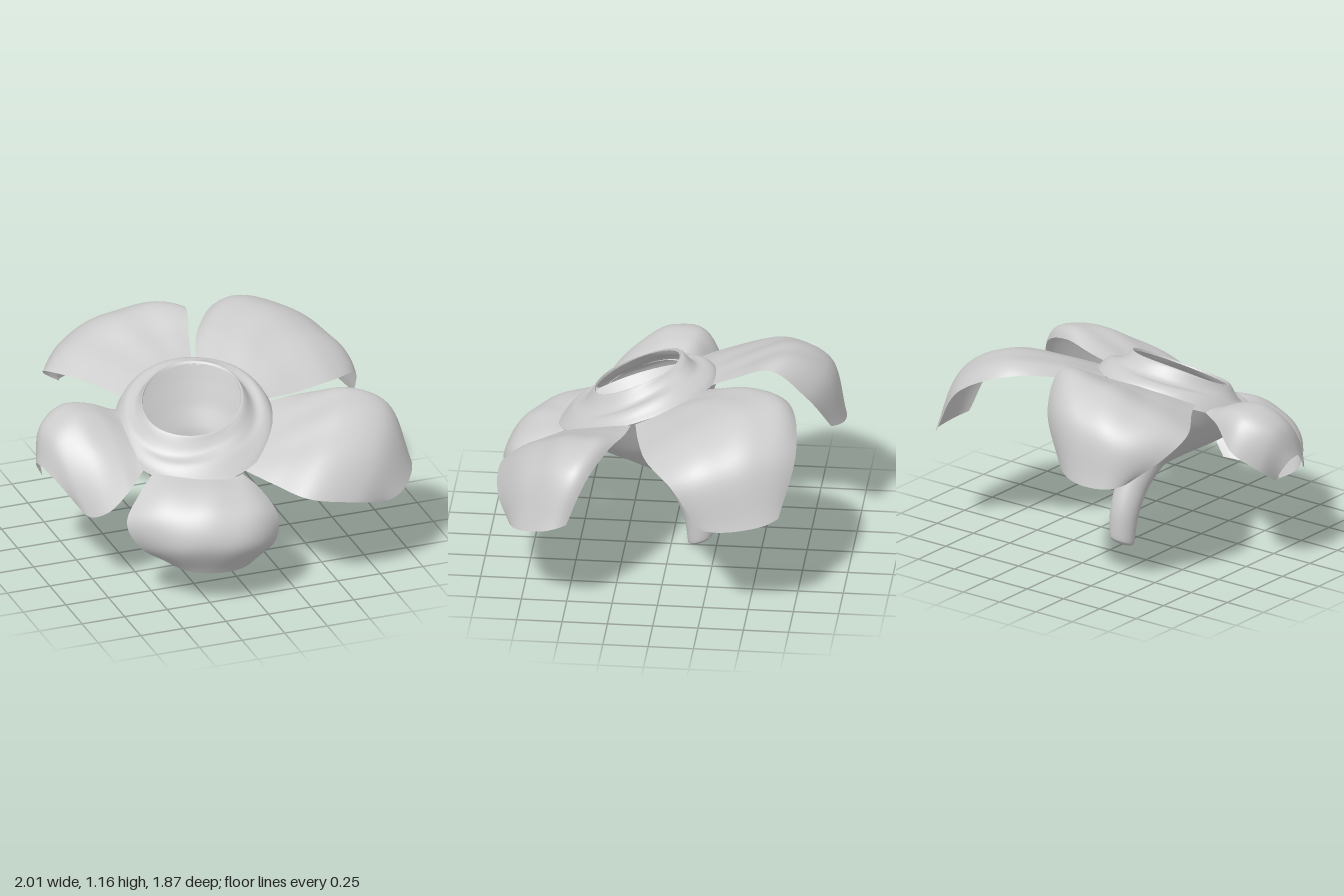
import * as THREE from 'three';

const material = new THREE.MeshStandardMaterial({ color: 0xcccccc, side: THREE.DoubleSide });

// Smooth surface through rows of points; closed rows wrap round without a seam.
function skin(name, rows, closed = false) {
  const n = rows[0].length, index = [];
  for (let i = 0; i < rows.length - 1; i++) {
    for (let j = 0; j < (closed ? n : n - 1); j++) {
      const a = i * n + j, b = i * n + (j + 1) % n;
      index.push(a, b, a + n, b, b + n, a + n);
    }
  }
  const geometry = new THREE.BufferGeometry().setFromPoints(rows.flat());
  geometry.setIndex(index);
  geometry.computeVertexNormals();
  const mesh = new THREE.Mesh(geometry, material);
  mesh.name = name;
  return mesh;
}

// Petal from sections, base to tip; each section is edge, middle, edge.
function petal(name, sections) {
  const rails = [0, 3, 6].map(k => new THREE.CatmullRomCurve3(
    sections.map(s => new THREE.Vector3(s[k], s[k + 1], s[k + 2]))));
  const rows = [];
  for (let i = 0; i <= 36; i++) {
    const t = i / 36;
    const [a, mid, b] = rails.map(r => r.getPoint(t));
    const bulge = mid.clone().sub(a.clone().lerp(b, 0.5));
    rows.push(Array.from({ length: 31 }, (_, j) => {
      const s = j / 15 - 1;
      // full, rounded arch with gentle waves that fade at the base and the edges
      const p = a.clone().lerp(b, (1 + s) / 2).addScaledVector(bulge, 1 - 0.55 * s ** 2 - 0.45 * s ** 4);
      p.y += 0.006 * Math.sin(s * 8 + t * 4) * (1 - s * s) * Math.sin(Math.PI * t);
      return p;
    }));
  }
  return skin(name, rows);
}

// Sloping collar that falls away from an oval mouth.
function collar() {
  const profile = new THREE.CatmullRomCurve3([
    [0.44, -0.13], [0.415, -0.095], [0.375, -0.062], [0.335, -0.05],
    [0.305, -0.03], [0.275, 0.008], [0.257, 0.027], [0.25, 0.015],
  ].map(([r, y]) => new THREE.Vector3(r, y, 0)));
  const rows = profile.getPoints(28).map((p, i) => {
    const t = i / 28;
    return Array.from({ length: 72 }, (_, j) => {
      const a = j / 72 * Math.PI * 2;
      const x = -0.13 - 0.02 * t + p.x * (1 + 0.1 * t) * Math.cos(a);
      const z = 0.19 + 0.01 * t + p.x * (1 - 0.08 * t) * Math.sin(a);
      const fold = 0.01 * Math.sin(3 * a + 9 * t) * Math.sin(Math.PI * t);
      const slope = 0.36 + 0.1 * t;
      return new THREE.Vector3(x, 0.96 - slope * (z - 0.2) + 0.13 * (x + 0.13) + p.y + fold, z);
    });
  });
  return skin('collar', rows, true);
}

// Bent stem swelling into the cup: centre and radius of each tilted ring.
function cupAndStem() {
  const rings = [
    [-0.015, 0.024, -0.16, 0.001], [-0.015, 0.026, -0.16, 0.045], [-0.015, 0.045, -0.16, 0.068],
    [-0.02, 0.2, -0.145, 0.077], [-0.03, 0.35, -0.085, 0.085], [-0.05, 0.48, 0.0, 0.108],
    [-0.07, 0.56, 0.06, 0.18], [-0.09, 0.65, 0.11, 0.28], [-0.115, 0.745, 0.155, 0.37],
    [-0.13, 0.833, 0.19, 0.44],
  ];
  const path = new THREE.CatmullRomCurve3(rings.map(r => new THREE.Vector3(r[0], r[1], r[2])));
  const size = new THREE.CatmullRomCurve3(rings.map(r => new THREE.Vector3(r[3], 0, 0)));
  const sideways = new THREE.Vector3(1, 0.13, 0), forward = new THREE.Vector3(0, -0.36, 1);
  const rows = [];
  for (let i = 0; i <= 54; i++) {
    const c = path.getPoint(i / 54), r = Math.max(0.001, size.getPoint(i / 54).x);
    rows.push(Array.from({ length: 72 }, (_, j) => {
      const a = j / 72 * Math.PI * 2;
      return c.clone().addScaledVector(sideways, r * Math.cos(a)).addScaledVector(forward, r * Math.sin(a));
    }));
  }
  return skin('cupAndStem', rows, true);
}

export function createModel() {
  const flower = new THREE.Group();
  flower.name = 'flower';
  flower.add(collar(), cupAndStem());

  flower.add(petal('backPetal', [
    [-0.43, 0.91, -0.04, -0.2, 0.99, -0.19, 0.0, 0.98, -0.19],
    [-0.57, 0.94, -0.26, -0.25, 1.06, -0.39, 0.04, 1.06, -0.34],
    [-0.73, 0.92, -0.52, -0.3, 1.12, -0.64, 0.1, 1.15, -0.56],
    [-0.68, 0.82, -0.68, -0.34, 1.0, -0.85, 0.05, 0.97, -0.75],
    [-0.55, 0.7, -0.8, -0.38, 0.67, -0.93, -0.13, 0.71, -0.87],
  ]));
  flower.add(petal('backLeftPetal', [
    [0.02, 0.98, -0.18, 0.18, 0.97, -0.06, 0.29, 0.89, 0.17],
    [0.13, 1.05, -0.45, 0.33, 1.07, -0.26, 0.5, 0.88, 0.13],
    [0.35, 1.08, -0.69, 0.59, 1.1, -0.41, 0.74, 0.88, 0.06],
    [0.66, 0.94, -0.755, 0.85, 0.95, -0.44, 0.92, 0.82, -0.09],
    [0.87, 0.64, -0.68, 0.965, 0.6, -0.48, 0.97, 0.6, -0.25],
  ]));
  flower.add(petal('frontLeftPetal', [
    [0.29, 0.88, 0.19, 0.22, 0.81, 0.43, 0.02, 0.69, 0.58],
    [0.48, 0.91, 0.21, 0.38, 0.86, 0.49, 0.13, 0.66, 0.74],
    [0.7, 0.92, 0.28, 0.6, 0.92, 0.55, 0.27, 0.62, 0.9],
    [0.91, 0.83, 0.38, 0.82, 0.84, 0.62, 0.55, 0.55, 0.9],
    [0.99, 0.6, 0.48, 0.95, 0.53, 0.68, 0.75, 0.48, 0.82],
  ]));
  flower.add(petal('frontPetal', [
    [-0.43, 0.73, 0.43, -0.18, 0.69, 0.58, 0.0, 0.68, 0.59],
    [-0.58, 0.64, 0.54, -0.25, 0.67, 0.73, 0.07, 0.62, 0.68],
    [-0.68, 0.5, 0.6, -0.27, 0.58, 0.86, 0.13, 0.5, 0.8],
    [-0.62, 0.36, 0.64, -0.27, 0.42, 0.92, 0.11, 0.36, 0.82],
    [-0.46, 0.25, 0.67, -0.25, 0.22, 0.82, 0.0, 0.24, 0.78],
  ]));
  flower.add(petal('rightPetal', [
    [-0.5, 0.71, 0.4, -0.53, 0.84, 0.18, -0.48, 0.87, -0.03],
    [-0.62, 0.62, 0.47, -0.66, 0.91, 0.13, -0.64, 0.85, -0.12],
    [-0.74, 0.52, 0.48, -0.8, 0.93, 0.1, -0.8, 0.75, -0.2],
    [-0.83, 0.48, 0.42, -0.94, 0.85, 0.1, -0.92, 0.65, -0.12],
    [-0.88, 0.53, 0.34, -1.0, 0.68, 0.12, -0.95, 0.56, 0.0],
  ]));
  return flower;
}
